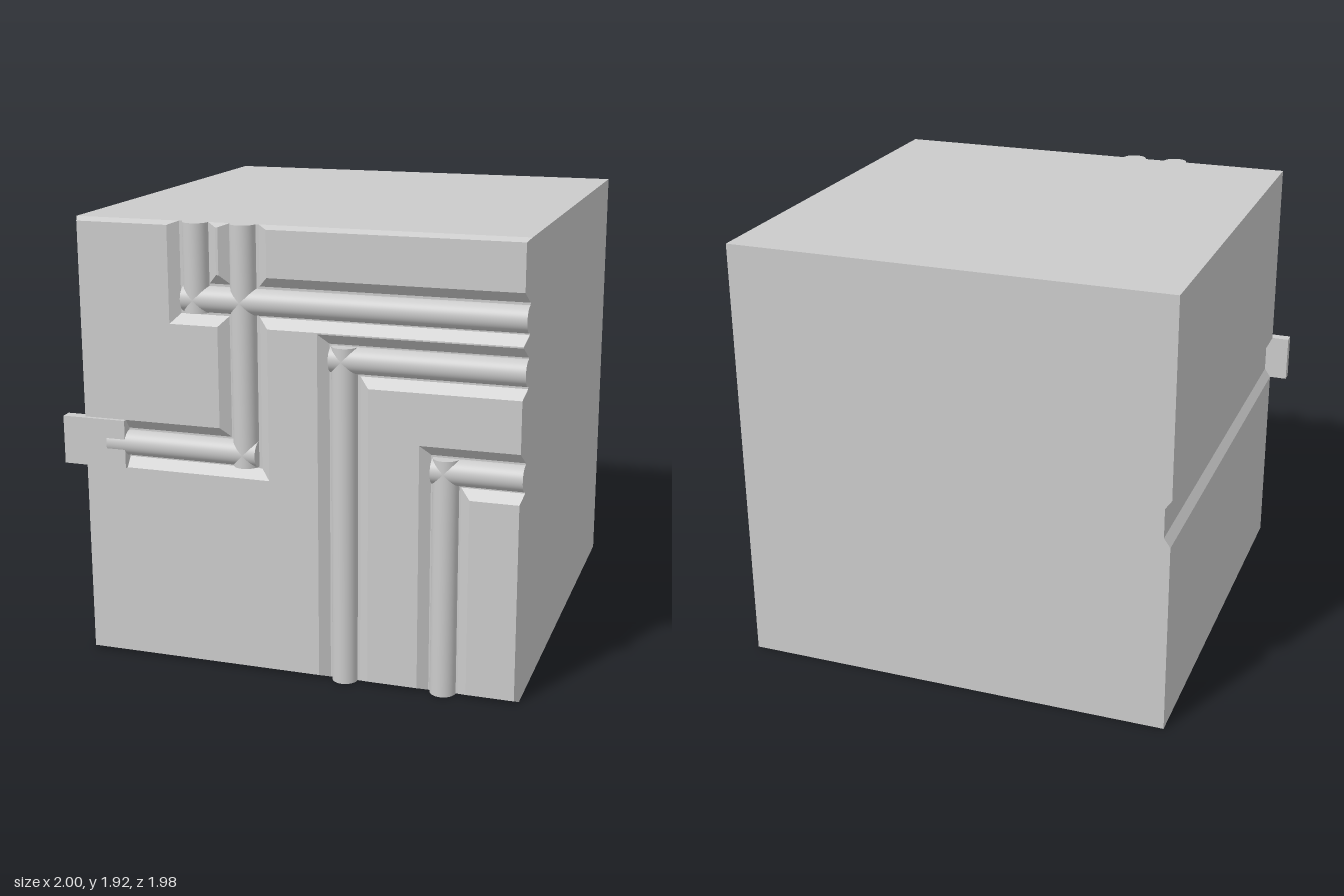
import * as THREE from 'three';

const L = -0.92, R = 1, H = 1.925;          // body outline
const BACK = -0.99, FLOOR = 0.935, FACE = 0.967; // depth levels
const RIM = 0.015, SLOPE = 0.042;           // bevel widths: outer rim, channel walls
const PIPE = 0.055;

const material = new THREE.MeshStandardMaterial({ color: 0xcccccc });

function addMesh(parent, name, geometry) {
  const mesh = new THREE.Mesh(geometry, material);
  mesh.name = name;
  parent.add(mesh);
  return mesh;
}

// Raised panel: right-angled outline (counter-clockwise) whose walls slope out to the channel floor
function panelGeometry(points) {
  const n = points.length;
  const top = points.map(([x, y]) => new THREE.Vector2(x, y));
  const onRim = (a, b) =>
    (a.x === b.x && (a.x === L + RIM || a.x === R - RIM)) ||
    (a.y === b.y && (a.y === RIM || a.y === H - RIM));
  const shifts = top.map((a, i) => {
    const b = top[(i + 1) % n];
    const out = new THREE.Vector2(b.y - a.y, a.x - b.x).normalize();
    return out.multiplyScalar(onRim(a, b) ? RIM : SLOPE);
  });
  const base = top.map((p, i) => p.clone().add(shifts[i]).add(shifts[(i + n - 1) % n]));

  const pos = [];
  const put = (p, z) => pos.push(p.x, p.y, z);
  for (const tri of THREE.ShapeUtils.triangulateShape(top, [])) {
    for (const i of tri) put(top[i], FACE);
  }
  for (let i = 0; i < n; i++) {
    const j = (i + 1) % n;
    put(base[i], FLOOR); put(base[j], FLOOR); put(top[j], FACE);
    put(base[i], FLOOR); put(top[j], FACE); put(top[i], FACE);
  }
  const geometry = new THREE.BufferGeometry();
  geometry.setAttribute('position', new THREE.Float32BufferAttribute(pos, 3));
  geometry.computeVertexNormals();
  return geometry;
}

// Half-round pipe lying on the channel floor
function addPipe(parent, name, x0, y0, x1, y1) {
  const length = Math.hypot(x1 - x0, y1 - y0);
  const geometry = new THREE.CylinderGeometry(PIPE, PIPE, length, 24, 1, false, -Math.PI / 2, Math.PI);
  if (y0 === y1) geometry.rotateZ(Math.PI / 2);
  addMesh(parent, name, geometry).position.set((x0 + x1) / 2, (y0 + y1) / 2, FLOOR);
}

export function createModel() {
  const model = new THREE.Group();
  model.name = 'pipedCube';

  // Solid body with a shallow groove along its -x side
  const profile = new THREE.Shape([
    [L, 0], [R, 0], [R, H], [L, H],
    [L, 1.07], [L + 0.028, 1.03], [L + 0.028, 0.9], [L, 0.86],
  ].map(([x, y]) => new THREE.Vector2(x, y)));
  const body = new THREE.ExtrudeGeometry(profile, { depth: FLOOR - BACK, bevelEnabled: false });
  addMesh(model, 'body', body.translate(0, 0, BACK));

  // Panels left standing between the channels
  const l = L + RIM, r = R - RIM, b = RIM, t = H - RIM;
  const panels = {
    upperLeftPanel: [[l, 1.07], [-0.287, 1.07], [-0.287, 1.5], [-0.5, 1.5], [-0.5, t], [l, t]],
    ridgePanel: [[-0.287, 1.715], [-0.277, 1.715], [-0.277, t], [-0.287, t]],
    upperRightPanel: [[-0.07, 1.715], [r, 1.715], [r, t], [-0.07, t]],
    mainPanel: [[l, b], [0.143, b], [0.143, 1.498], [r, 1.498], [r, 1.504],
      [-0.07, 1.504], [-0.07, 0.86], [l, 0.86]],
    middlePanel: [[0.358, b], [0.572, b], [0.572, 1.07], [r, 1.07], [r, 1.288], [0.358, 1.288]],
    lowerRightPanel: [[0.782, b], [r, b], [r, 0.86], [0.782, 0.86]],
  };
  for (const [name, points] of Object.entries(panels)) addMesh(model, name, panelGeometry(points));

  // Pipes, overlapping by one radius at the corners
  const pipes = new THREE.Group();
  pipes.name = 'pipes';
  model.add(pipes);
  addPipe(pipes, 'shortUpperPipe', -0.385, 1.608 - PIPE, -0.385, H);
  addPipe(pipes, 'longUpperPipe', -0.18, 0.965 - PIPE, -0.18, H);
  addPipe(pipes, 'crossPipe', -0.385 - PIPE, 1.608, R, 1.608);
  addPipe(pipes, 'clampedPipe', -0.8, 0.965, -0.18 + PIPE, 0.965);
  for (const [name, x, y] of [['outerElbow', 0.25, 1.395], ['innerElbow', 0.677, 0.965]]) {
    addPipe(pipes, name + 'Upright', x, 0, x, y + PIPE);
    addPipe(pipes, name + 'Arm', x - PIPE, y, R, y);
  }

  // Clamp block covering the pipe end and overhanging the side
  const clamp = addMesh(model, 'clampBlock', new THREE.BoxGeometry(0.285, 0.21, 0.05));
  clamp.position.set(-0.8575, 0.965, 0.96);

  return model;
}
